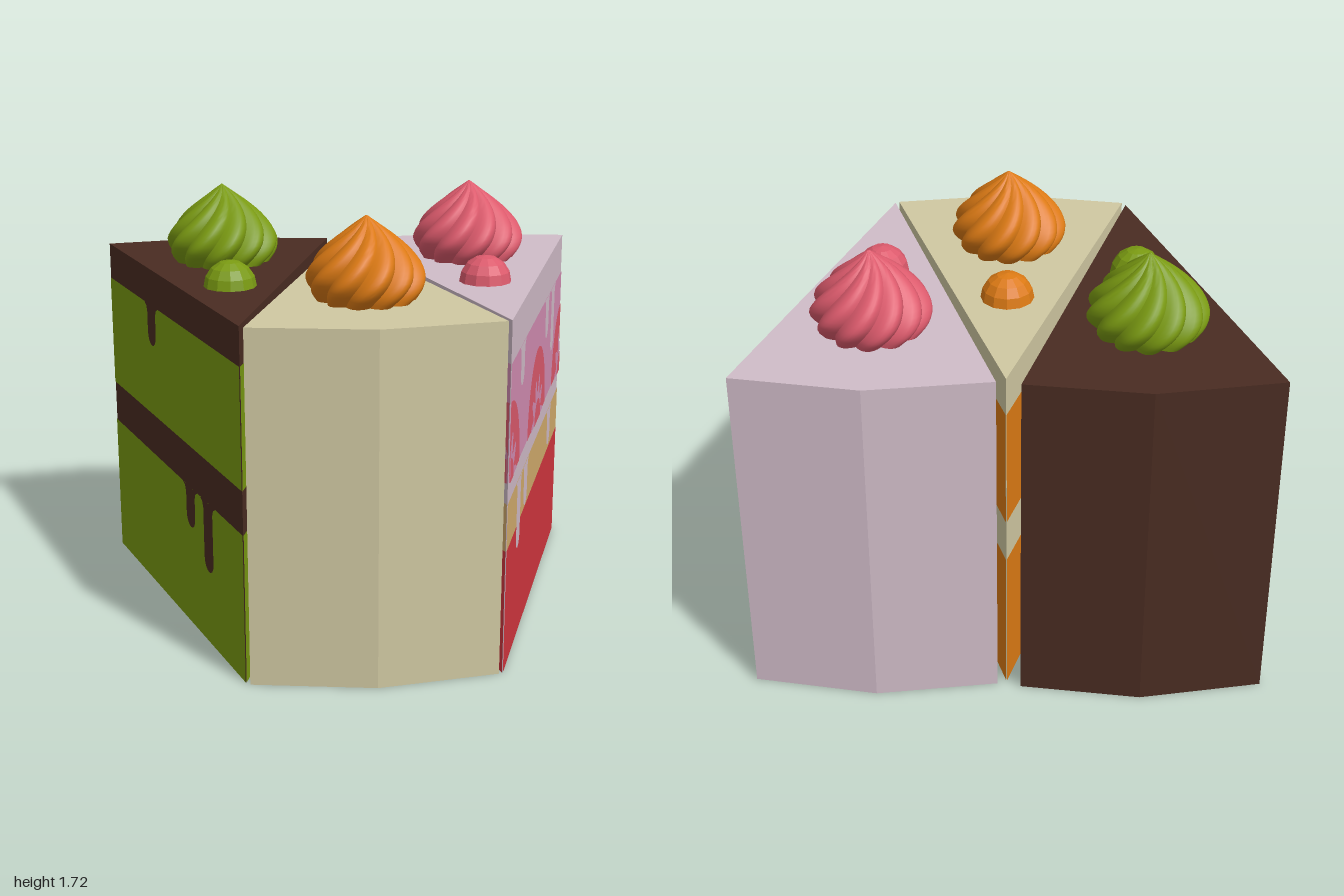
import * as THREE from 'three';
import { toCreasedNormals } from 'three/addons/utils/BufferGeometryUtils.js';

const HEIGHT = 1.4;

function makeMaterial(name, color, options = {}) {
  const m = new THREE.MeshStandardMaterial({ color, ...options });
  m.name = name;
  return m;
}

function addMesh(parent, name, geometry, material) {
  const mesh = new THREE.Mesh(geometry, material);
  mesh.name = name;
  parent.add(mesh);
  return mesh;
}

// Closed shape from [u, y] pairs; s mirrors it for the other side of a slice
const polygon = (points, s) => new THREE.Shape(points.map(([u, y]) => new THREE.Vector2(u * s, y)));

// Icing drip with flared shoulders and a round tip
function dripShape(u, top, bottom, s) {
  const w = 0.05, f = 0.035;
  const pts = [[u - w - f, top + 0.002], [u - w - f * 0.3, top - f * 0.3], [u - w, top - f]];
  for (let i = 0; i <= 8; i++) {
    const a = Math.PI + (Math.PI * i) / 8;
    pts.push([u + w * Math.cos(a), bottom + w + w * Math.sin(a)]);
  }
  pts.push([u + w, top - f], [u + w + f * 0.3, top - f * 0.3], [u + w + f, top + 0.002]);
  return polygon(pts, s);
}

// Part of a half disc standing on a layer, cut off at the ends of the side
function fanShape(u, y, radius, range, s, stretch = 1) {
  const pts = [[u, y]];
  for (let i = 0; i <= 60; i++) {
    const a = range[0] + ((range[1] - range[0]) * i) / 60;
    const r = radius(a);
    pts.push([u + r * Math.cos(a), y + r * stretch * Math.sin(a)]);
  }
  return polygon(pts, s);
}

// Piped swirl: a fluted, twisted, pointed dome
function swirlGeometry() {
  const lobes = 11, twist = 1.25;
  const curve = new THREE.CatmullRomCurve3([
    [0.19, 0], [0.222, 0.045], [0.23, 0.09], [0.21, 0.14],
    [0.168, 0.19], [0.115, 0.237], [0.058, 0.28], [0.002, 0.32],
  ].map(([r, y]) => new THREE.Vector3(r, y, 0)));
  const g = new THREE.CylinderGeometry(1, 1, 1, lobes * 8, 20, true);
  const p = g.attributes.position;
  for (let i = 0; i < p.count; i++) {
    const t = p.getY(i) + 0.5;
    const a = Math.atan2(p.getX(i), p.getZ(i));
    const c = curve.getPoint(t);
    const r = c.x * (0.85 + 0.15 * Math.abs(Math.sin((a * lobes) / 2)));
    const b = a + twist * t;
    p.setXYZ(i, r * Math.sin(b), c.y, r * Math.cos(b));
  }
  return toCreasedNormals(g, 0.7);
}

// One wedge; outline runs apex, first corner, back middle, second corner
function makeSlice(spec, swirl) {
  const group = new THREE.Group();
  group.name = spec.name;
  const [apex, first, , second] = spec.outline;
  const outline = new THREE.Shape(spec.outline.map(([x, z]) => new THREE.Vector2(x, -z)));
  const body = new THREE.ExtrudeGeometry(outline, { depth: HEIGHT, bevelEnabled: false });
  body.rotateX(-Math.PI / 2);
  addMesh(group, 'icingBody', body, spec.icing);

  // Painted layers on both cut sides
  [[first, 1], [second, -1]].forEach(([corner, s]) => {
    const dx = corner[0] - apex[0], dz = corner[1] - apex[1];
    const length = Math.hypot(dx, dz);
    const side = new THREE.Group();
    side.name = s > 0 ? 'firstCutSide' : 'secondCutSide';
    side.position.set(apex[0], 0, apex[1]);
    side.rotation.y = Math.atan2(-dz * s, dx * s);
    group.add(side);
    const paint = (name, shape, material, level) => {
      addMesh(side, name, new THREE.ShapeGeometry(shape), material).position.z = 0.002 * level;
    };
    spec.layers.forEach(([y0, y1, material]) => {
      paint('spongeLayer', polygon([[0, y0], [length, y0], [length, y1], [0, y1]], s), material, 1);
    });
    spec.drips.forEach(([u, top, bottom]) => paint('icingDrip', dripShape(u, top, bottom, s), spec.icing, 2));
    // Halved berries: flesh, scalloped seed ring and core
    if (spec.berry) {
      const y = 0.775;
      [[0, [0, Math.PI / 2]], [length / 2, [0, Math.PI]], [length, [Math.PI / 2, Math.PI]]].forEach(([u, range]) => {
        paint('berryFlesh', fanShape(u, y, () => 0.272, range, s, 1.15), spec.berry, 2);
        const star = (a) => 0.145 + 0.035 * Math.cos(a * 10);
        paint('berryRing', fanShape(u, y, star, range, s, 1.08), spec.berryRing, 3);
        paint('berryCore', fanShape(u, y, () => 0.09, range, s, 1.05), spec.berry, 4);
      });
    }
  });

  // Toppings
  addMesh(group, 'creamSwirl', swirl, spec.topping).position.set(spec.swirl[0], HEIGHT, spec.swirl[1]);
  const ball = new THREE.SphereGeometry(0.104, 12, 8).toNonIndexed();
  ball.computeVertexNormals();
  addMesh(group, 'candyBall', ball, spec.topping).position.set(spec.ball[0], HEIGHT, spec.ball[1]);
  return group;
}

export function createModel() {
  const chocolate = makeMaterial('chocolate', 0x4a2c22);
  const green = makeMaterial('green', 0x7a9a12);
  const cream = makeMaterial('cream', 0xd0c8a2);
  const orange = makeMaterial('orange', 0xdc7a14);
  const lilac = makeMaterial('lilac', 0xd0bcc8);
  const pink = makeMaterial('pink', 0xd28cb2);
  const red = makeMaterial('red', 0xd2363e);
  const tan = makeMaterial('tan', 0xd2ac6c);
  const berry = makeMaterial('berry', 0xdc5a6c);

  const plainDrips = [[0.99, 1.25, 1.08], [0.57, 0.6, 0.43], [0.37, 0.6, 0.31]];
  const plainLayers = (m) => [[0, 0.6, m], [0.775, 1.25, m]];
  const slices = [
    {
      name: 'chocolateSlice', icing: chocolate, topping: green,
      outline: [[-0.47, 0.725], [-0.05, -0.765], [-0.52, -0.82], [-1, -0.73]],
      layers: plainLayers(green), drips: plainDrips,
      swirl: [-0.51, -0.36], ball: [-0.49, 0.105],
    },
    {
      name: 'creamSlice', icing: cream, topping: orange,
      outline: [[0.005, -0.73], [-0.455, 0.745], [0.025, 0.815], [0.5, 0.735]],
      layers: plainLayers(orange), drips: plainDrips,
      swirl: [0.02, 0.35], ball: [0.015, -0.115],
    },
    {
      name: 'berrySlice', icing: lilac, topping: berry,
      outline: [[0.515, 0.725], [1, -0.745], [0.515, -0.82], [0.04, -0.75]],
      layers: [[0, 0.5, red], [0.5, 0.69, tan], [0.775, 1.235, pink]],
      drips: [[0.3, 0.69, 0.4], [0.49, 0.69, 0.51], [1.23, 0.69, 0.52],
        [0.3, 1.235, 1.07], [1.04, 1.235, 1.06], [1.24, 1.235, 0.95]],
      berry, berryRing: pink,
      swirl: [0.515, -0.36], ball: [0.515, 0.105],
    },
  ];

  const model = new THREE.Group();
  model.name = 'cakeSlices';
  const swirl = swirlGeometry();
  slices.forEach((spec) => model.add(makeSlice(spec, swirl)));
  return model;
}
